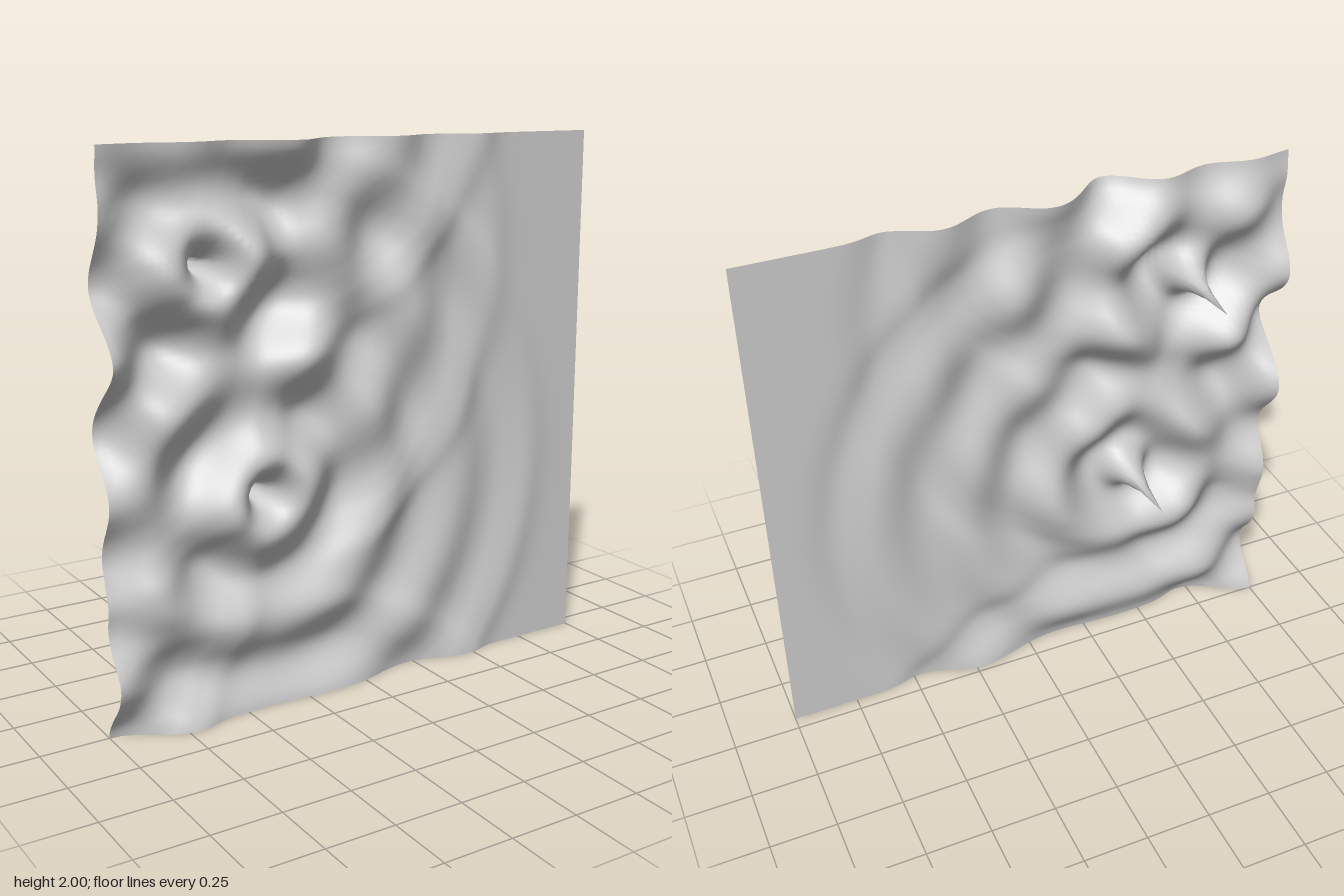
import * as THREE from 'three';

const N = 100;              // grid points per side
const PERIOD = 34.2;        // time steps per oscillation of a source
const STEPS = 128;          // about 3.75 oscillations
const DAMPING = 0.01;       // motion lost per step
const SOURCES = [[19, 20], [29, 60]]; // column, row counted from the top
const BASE_Z = 0.05, AMPLITUDE = 0.28;

// Spreads ripples from two oscillating points over a sheet with free edges
function rippleHeights() {
  let prev = new Float64Array(N * N), now = new Float64Array(N * N);
  const clamp = (i) => Math.min(N - 1, Math.max(0, i));
  const at = (c, r) => now[clamp(r) * N + clamp(c)];
  for (let t = 1; t <= STEPS; t++) {
    const next = new Float64Array(N * N);
    for (let r = 0; r < N; r++) {
      for (let c = 0; c < N; c++) {
        const i = r * N + c;
        const bend = at(c - 1, r) + at(c + 1, r) + at(c, r - 1) + at(c, r + 1) - 4 * now[i];
        next[i] = now[i] + (1 - DAMPING) * (now[i] - prev[i]) + 0.25 * bend;
      }
    }
    const drive = AMPLITUDE * Math.sin((2 * Math.PI * t) / PERIOD);
    for (const [c, r] of SOURCES) next[r * N + c] = drive;
    prev = now;
    now = next;
  }
  return now;
}

export function createModel() {
  const group = new THREE.Group();
  group.name = 'rippleSheet';

  // Flat sheet standing upright, displaced along z by the ripples
  const geometry = new THREE.PlaneGeometry(2, 2, N - 1, N - 1);
  const heights = rippleHeights();
  const position = geometry.attributes.position;
  for (let i = 0; i < position.count; i++) {
    position.setZ(i, BASE_Z + heights[i]);
  }
  geometry.translate(0, 1, 0);
  geometry.computeVertexNormals();

  const material = new THREE.MeshStandardMaterial({ color: 0xcccccc, side: THREE.DoubleSide });
  const sheet = new THREE.Mesh(geometry, material);
  sheet.name = 'waveSurface';
  group.add(sheet);
  return group;
}
